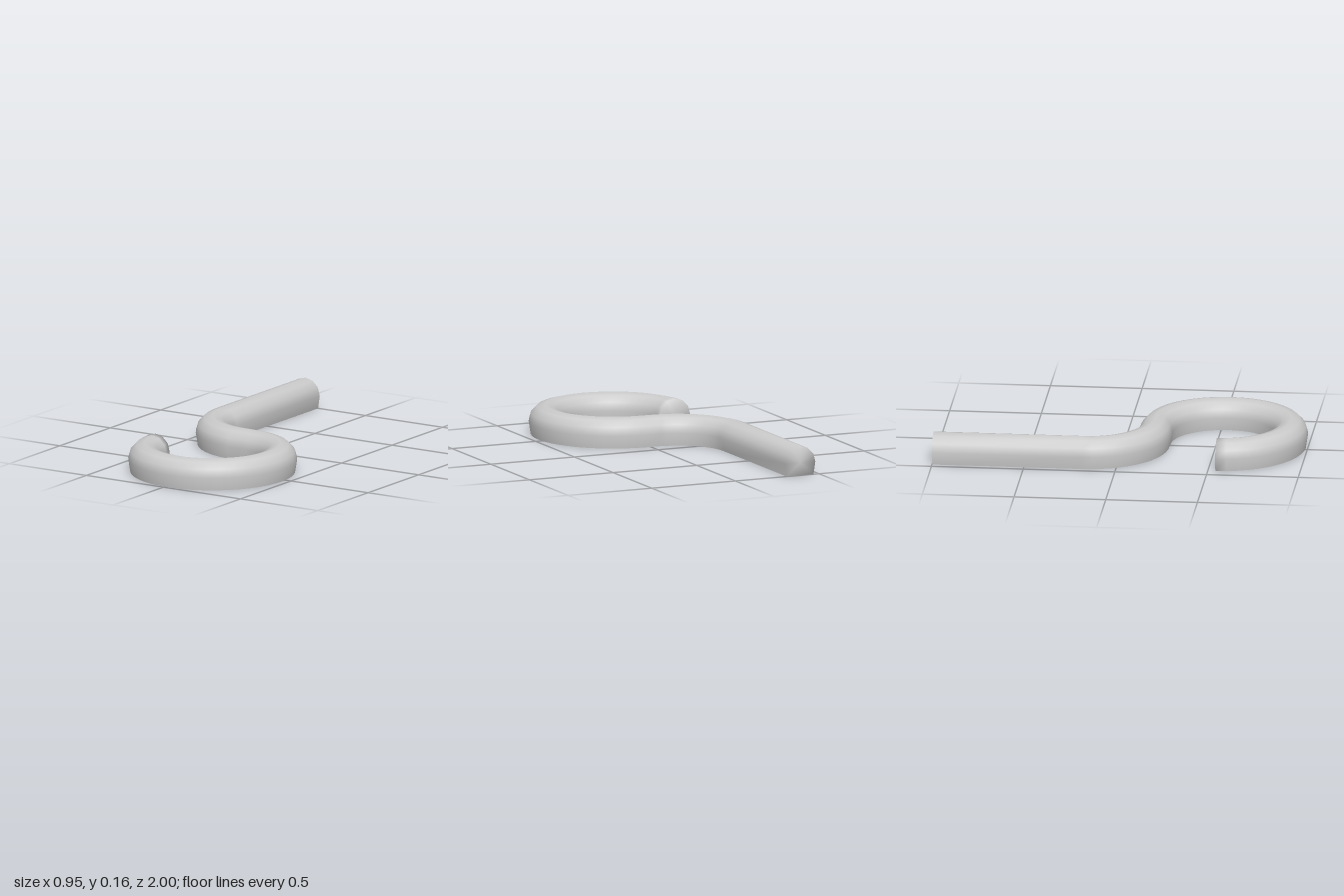
import * as THREE from 'three';

// Centre line on the ground: x, z and heading (0 = +z, 90 degrees = +x)
function hookPath() {
  const path = [[-0.387, -1, 0]];
  const quarter = Math.PI / 2;
  // bend from the straight shank, ending just short of a quarter turn
  const bendSteps = 12;
  for (let i = 0; i <= bendSteps; i++) {
    const a = (i / bendSteps) * quarter * 0.95;
    path.push([-0.037 - 0.35 * Math.cos(a), -0.18 + 0.35 * Math.sin(a), a]);
  }
  // three-quarter turn of the hook, slightly wider on the open side
  const hookSteps = 36;
  for (let i = 0; i <= hookSteps; i++) {
    const b = (i / hookSteps) * 3 * quarter;
    const radius = Math.sin(b) > 0 ? 0.357 : 0.379;
    path.push([0.028 + radius * Math.sin(b), 0.541 - 0.368 * Math.cos(b), quarter - b]);
  }
  return path;
}

// Round-topped section, open underneath, counter-clockwise as (across, up)
function hookSection() {
  const section = [[0.08, 0]];
  for (let i = 0; i <= 6; i++) {
    const a = (i / 6) * Math.PI;
    section.push([0.091 * Math.cos(a), 0.07 + 0.091 * Math.sin(a)]);
  }
  section.push([-0.08, 0]);
  return section;
}

// Sweep the section along the path as a hollow shell and close its two ends
function sweep(path, section) {
  const positions = [], indices = [];
  const n = section.length;
  const addPoint = ([x, z, h], [u, y]) =>
    positions.push(x + u * Math.cos(h), y, z - u * Math.sin(h));
  for (const station of path) {
    for (const point of section) addPoint(station, point);
  }
  for (let i = 0; i < path.length - 1; i++) {
    for (let j = 0; j < n - 1; j++) {
      const a = i * n + j, b = a + 1, c = a + n, d = b + n;
      indices.push(a, b, c, b, d, c);
    }
  }
  // end caps, fanned from a middle point
  const last = (path.length - 1) * n;
  const startCentre = path.length * n, endCentre = startCentre + 1;
  addPoint(path[0], [0, 0.07]);
  addPoint(path[path.length - 1], [0, 0.07]);
  for (let j = 0; j < n; j++) {
    const k = (j + 1) % n;
    indices.push(startCentre, k, j);
    indices.push(endCentre, last + j, last + k);
  }
  const geometry = new THREE.BufferGeometry();
  geometry.setAttribute('position', new THREE.Float32BufferAttribute(positions, 3));
  geometry.setIndex(indices);
  geometry.computeVertexNormals();
  return geometry;
}

export function createModel() {
  const group = new THREE.Group();
  group.name = 'sHook';
  const material = new THREE.MeshStandardMaterial({ color: 0xcccccc, side: THREE.DoubleSide });
  const hook = new THREE.Mesh(sweep(hookPath(), hookSection()), material);
  hook.name = 'hook';
  group.add(hook);
  return group;
}
